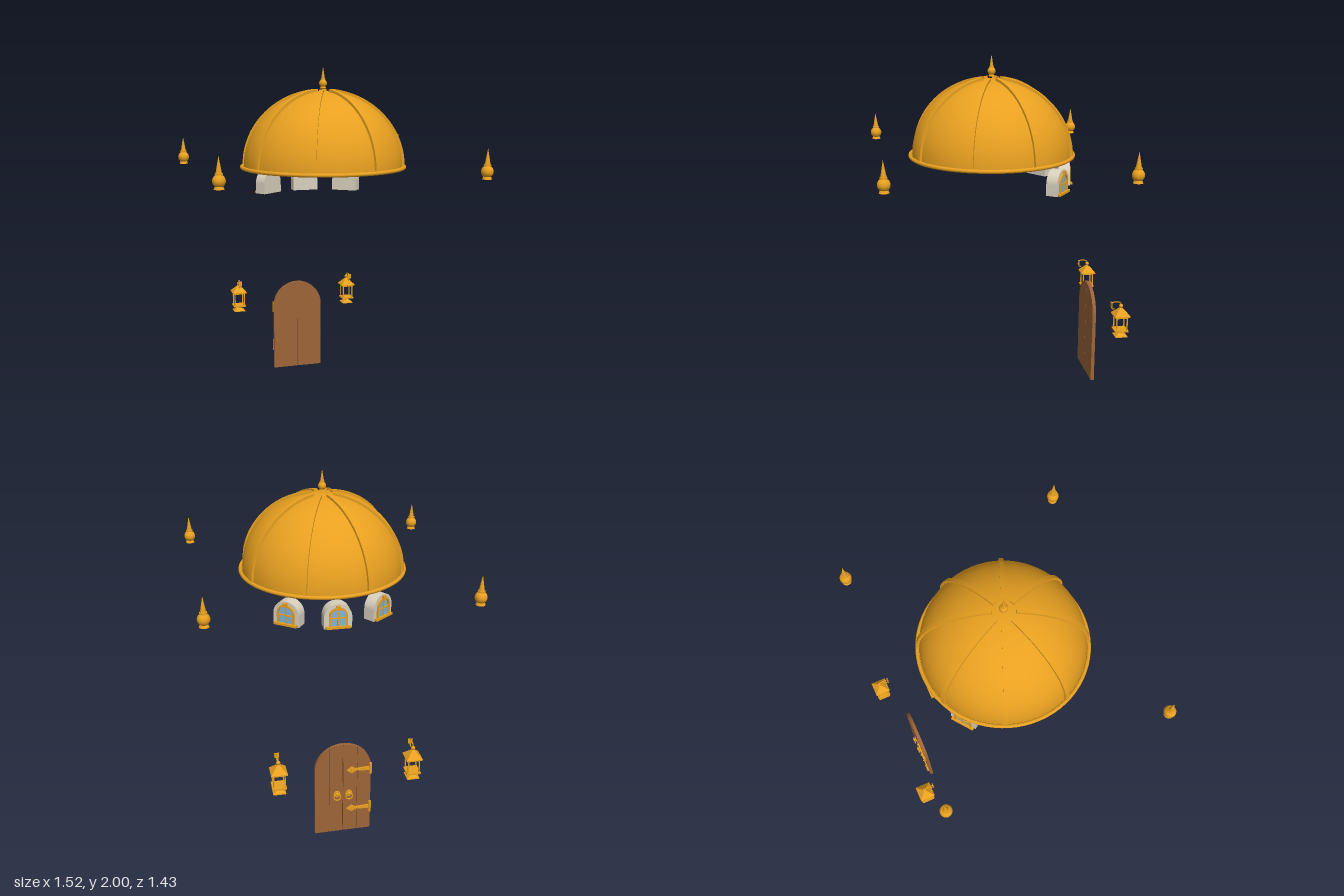
import * as THREE from 'three';

const paint = (color, extra = {}) => new THREE.MeshStandardMaterial({ color, ...extra });
const gold = paint(0xe8a020);
const goldThin = paint(0xe8a020, { side: THREE.DoubleSide });
const wood = paint(0x9c6438);
const stone = paint(0xd9d0bd);
const glass = paint(0x7fb4dc);

function add(parent, name, geometry, material, x = 0, y = 0, z = 0) {
  const mesh = new THREE.Mesh(geometry, material);
  mesh.name = name;
  mesh.position.set(x, y, z);
  parent.add(mesh);
  return mesh;
}
function group(parent, name, x = 0, y = 0, z = 0) {
  const g = new THREE.Group();
  g.name = name;
  g.position.set(x, y, z);
  parent.add(g);
  return g;
}
const box = (w, h, d) => new THREE.BoxGeometry(w, h, d);
const extrude = (shape, depth) =>
  new THREE.ExtrudeGeometry(shape, { depth, bevelEnabled: false, curveSegments: 24 });
const tube = (points, r) => new THREE.TubeGeometry(
  new THREE.CatmullRomCurve3(points.map(p => new THREE.Vector3(...p))), 32, r, 8);

// Upright arch standing on y = 0, half-width r, springing at height s
function arch(r, s, Type = THREE.Shape) {
  const p = new Type();
  p.moveTo(-r, 0);
  p.lineTo(r, 0);
  p.lineTo(r, s);
  p.absarc(0, s, r, 0, Math.PI, false);
  p.closePath();
  return p;
}

// Vertical strip of an arched panel, between x0 and x1
function archStrip(x0, x1, r, s) {
  const top = x => s + Math.sqrt(Math.max(0, r * r - x * x));
  const p = new THREE.Shape();
  p.moveTo(x0, 0);
  p.lineTo(x1, 0);
  for (let i = 0; i <= 16; i++) {
    // cosine spacing keeps the steep ends of the arch round
    const a0 = Math.acos(x1 / r), a1 = Math.acos(x0 / r);
    const x = r * Math.cos(a0 + (a1 - a0) * i / 16);
    p.lineTo(x, top(x));
  }
  p.closePath();
  return p;
}

// Ball and spike ornament; origin at the ball centre
function finial(parent, name, r, tip, x, y, z) {
  const g = group(parent, name, x, y, z);
  add(g, 'finialFoot', new THREE.CylinderGeometry(r * 0.6, r * 0.8, r * 0.45, 20), gold, 0, -r * 1.0, 0);
  add(g, 'finialBall', new THREE.SphereGeometry(r, 24, 16), gold);
  add(g, 'finialCollar', new THREE.CylinderGeometry(r * 0.6, r * 0.6, r * 0.25, 20), gold, 0, r * 1.0, 0);
  const h = tip - r * 1.1;
  add(g, 'finialSpike', new THREE.ConeGeometry(r * 0.48, h, 20), gold, 0, r * 1.1 + h / 2, 0);
}

function buildDome(root) {
  const R = 0.462, H = 0.435, T = 0.014;
  const dome = group(root, 'dome', 0, 1.425, 0.03);
  const shell = new THREE.SphereGeometry(1, 64, 24, 0, Math.PI * 2, 0, Math.PI / 2).scale(R, H, R);
  add(dome, 'domeShell', shell, gold);
  add(dome, 'domeUnderside', new THREE.CylinderGeometry(0.474, 0.474, 0.008, 64), gold, 0, -0.004, 0);
  add(dome, 'domeRim', new THREE.TorusGeometry(0.474, 0.011, 10, 72).rotateX(Math.PI / 2), gold);

  // Raised ribs, stopping short of the crown
  const rib = new THREE.Shape();
  const N = 28, end = Math.acos(0.062 / R);
  for (let i = 0; i <= N; i++) {
    const a = end * i / N;
    const x = (R + T) * Math.cos(a), y = (H + T) * Math.sin(a);
    i ? rib.lineTo(x, y) : rib.moveTo(x, y);
  }
  for (let i = N; i >= 0; i--) {
    const a = end * i / N;
    rib.lineTo((R - 0.01) * Math.cos(a), (H - 0.01) * Math.sin(a));
  }
  const ribGeometry = extrude(rib, 0.025).translate(0, 0, -0.0125);
  for (let k = 0; k < 8; k++) {
    add(dome, 'domeRib', ribGeometry, gold).rotation.y = (k + 0.5) * Math.PI / 4;
  }
  finial(root, 'crownFinial', 0.023, 0.095, 0, 1.903, 0.03);
}

// Small arched window block, facing local +z
function buildDormer(root, angle) {
  const g = group(root, 'dormer', 0.42 * Math.sin(angle), 1.235, 0.03 + 0.42 * Math.cos(angle));
  g.rotation.y = angle;
  add(g, 'dormerBlock', extrude(arch(0.078, 0.064), 0.068).translate(0, 0, -0.034), stone);
  add(g, 'windowPane', extrude(arch(0.044, 0.06), 0.003), glass, 0, 0.012, 0.033);
  const frame = arch(0.052, 0.06);
  frame.holes.push(arch(0.042, 0.06, THREE.Path));
  add(g, 'windowFrame', extrude(frame, 0.012), gold, 0, 0.012, 0.032);
  add(g, 'windowMullion', box(0.006, 0.1, 0.008), gold, 0, 0.063, 0.038);
  add(g, 'windowCrossbar', box(0.086, 0.006, 0.008), gold, 0, 0.062, 0.038);
  add(g, 'windowSill', box(0.138, 0.013, 0.02), gold, 0, 0.0085, 0.041);
  add(g, 'windowKeystone', box(0.02, 0.024, 0.018), gold, 0, 0.123, 0.041);
}

function buildDoor(root) {
  const door = group(root, 'door');
  const r = 0.163, s = 0.427;
  // Two leaves, each faced with two planks on the outer (rear) side
  for (const side of [-1, 1]) {
    const span = (a, b) => side > 0 ? [a, b] : [-b, -a];
    add(door, 'doorLeaf', extrude(archStrip(...span(0.001, r), r, s), 0.013), wood, 0, 0, -0.579);
    for (const [a, b] of [[0.0025, 0.079], [0.084, r]]) {
      add(door, 'doorPlank', extrude(archStrip(...span(a, b), r, s), 0.009), wood, 0, 0, -0.587);
    }
    // Ring handle on a round plate
    const h = group(door, 'doorHandle', side * 0.035, 0.258, -0.587);
    add(h, 'handlePlate', new THREE.CylinderGeometry(0.02, 0.02, 0.006, 20).rotateX(Math.PI / 2), gold, 0, 0.005, -0.003);
    add(h, 'handleKnob', new THREE.SphereGeometry(0.01, 16, 12), gold, 0, 0.01, -0.012);
    add(h, 'handleRing', new THREE.TorusGeometry(0.02, 0.004, 8, 24), gold, 0, -0.01, -0.014);
  }
  // Strap hinges with a pointed leaf end
  const strap = new THREE.Shape();
  strap.moveTo(0, -0.013);
  strap.lineTo(0.09, -0.007);
  strap.lineTo(0.112, -0.022);
  strap.lineTo(0.142, 0);
  strap.lineTo(0.112, 0.022);
  strap.lineTo(0.09, 0.007);
  strap.lineTo(0, 0.013);
  strap.closePath();
  for (const y of [0.155, 0.42]) {
    const hinge = group(door, 'hinge', -0.163, y, -0.587);
    add(hinge, 'hingeStrap', extrude(strap, 0.008), gold, 0, 0, -0.008);
    add(hinge, 'hingeBarrel', new THREE.CylinderGeometry(0.008, 0.008, 0.07, 14), gold, 0.004, 0, -0.006);
    for (const x of [0.03, 0.07, 0.112]) {
      add(hinge, 'hingeRivet', new THREE.SphereGeometry(0.006, 10, 8), gold, x, 0, -0.009);
    }
  }
}

// Square tapering block, w measured across the flats
function frustum(wTop, wBottom, h) {
  const k = Math.SQRT1_2;
  return new THREE.CylinderGeometry(wTop * k, wBottom * k, h, 4).toNonIndexed().rotateY(Math.PI / 4);
}

function buildLantern(root, x) {
  const g = group(root, 'lantern', x, 0, -0.672);
  const flat = paint(0xe8a020, { flatShading: true });
  add(g, 'lanternRoof', frustum(0.014, 0.092, 0.042), flat, 0, 0.544, 0);
  add(g, 'lanternEave', box(0.092, 0.006, 0.092), gold, 0, 0.52, 0);
  add(g, 'lanternTopRail', box(0.074, 0.008, 0.074), gold, 0, 0.513, 0);
  add(g, 'lanternFloor', box(0.08, 0.009, 0.08), gold, 0, 0.428, 0);
  add(g, 'lanternNeck', frustum(0.045, 0.02, 0.012), flat, 0, 0.418, 0);
  add(g, 'lanternBase', frustum(0.02, 0.072, 0.02), flat, 0, 0.403, 0);
  add(g, 'lanternFoot', box(0.072, 0.005, 0.072), gold, 0, 0.393, 0);
  for (const sx of [-1, 1]) for (const sz of [-1, 1]) {
    add(g, 'lanternPost', box(0.007, 0.084, 0.007), gold, sx * 0.031, 0.472, sz * 0.031);
  }
  add(g, 'lanternKnob', new THREE.SphereGeometry(0.012, 14, 10), gold, 0, 0.577, 0);
  // Hanging hook reaching towards the wall
  add(g, 'lanternHook', tube([
    [0, 0.565, 0], [0, 0.594, 0.003], [0, 0.6, 0.012], [0, 0.601, 0.05],
    [0, 0.594, 0.057], [0, 0.57, 0.057], [0, 0.559, 0.05], [0, 0.561, 0.04],
  ], 0.0035), goldThin);
  add(g, 'hookPlate', box(0.026, 0.03, 0.005), gold, 0, 0.587, 0.058);
}

export function createModel() {
  const root = new THREE.Group();
  root.name = 'domedPavilionParts';
  buildDome(root);
  for (const k of [-1, 0, 1]) buildDormer(root, Math.PI + k * 0.64);
  buildDoor(root);
  for (const side of [-1, 1]) {
    buildLantern(root, side * 0.38);
    for (const z of [-0.62, 0.68]) finial(root, 'cornerFinial', 0.034, 0.125, side * 0.727, 1.44, z);
  }
  return root;
}
